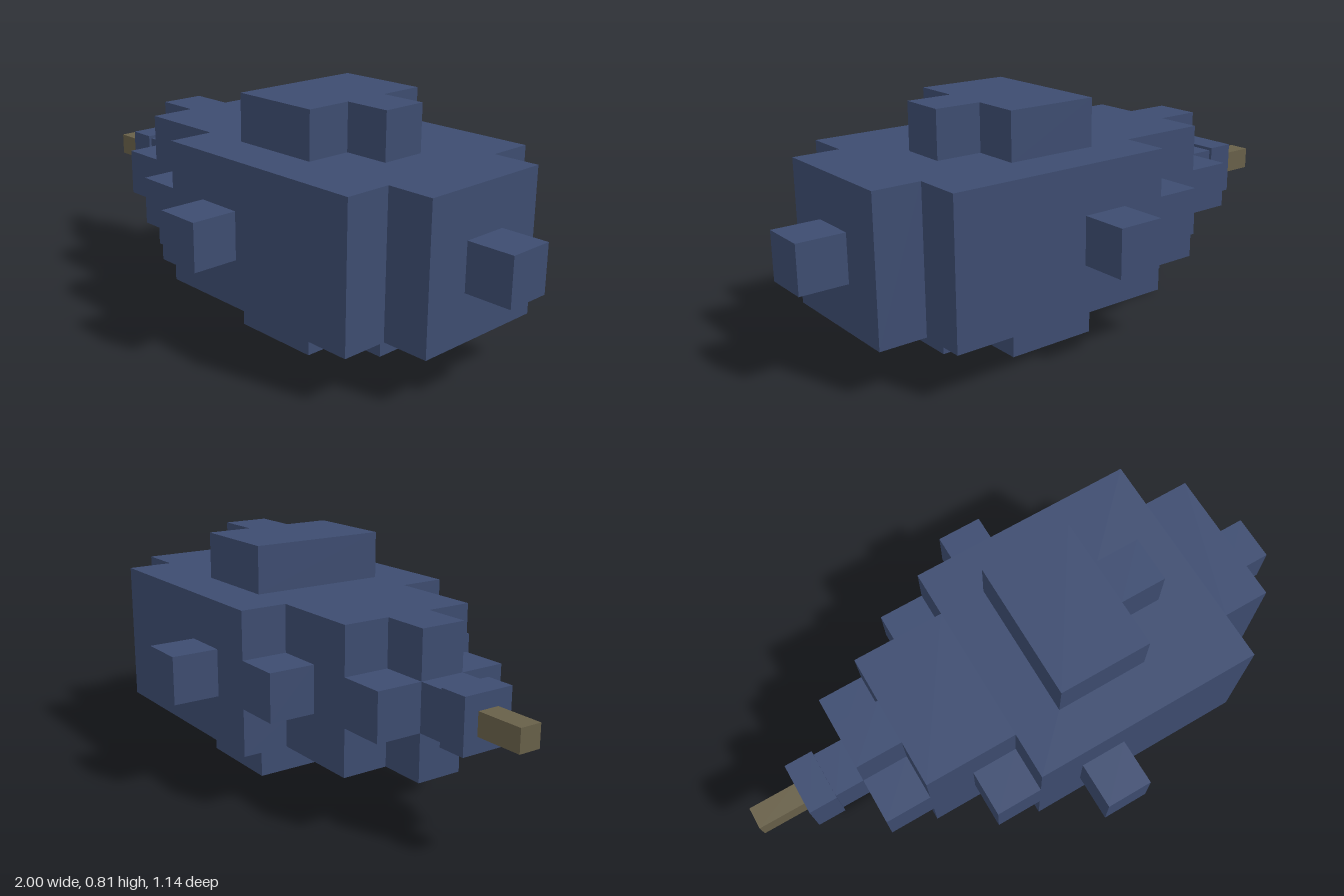
import * as THREE from 'three';

const U = 0.163;      // block size
const MID = 0.4075;   // height of the long axis
const TAIL = -0.63;   // x where the blocky hull begins

export function createModel() {
  const model = new THREE.Group();
  model.name = 'blockyHull';

  const navy = new THREE.MeshStandardMaterial({ color: 0x3d4c70 });
  navy.name = 'navy blue';
  const brass = new THREE.MeshStandardMaterial({ color: 0x686049 });
  brass.name = 'dull brass';

  // Box from x0 to x1, with height h and depth d, offset from the long axis
  function block(name, x0, x1, h, d, y = 0, z = 0, material = navy) {
    const mesh = new THREE.Mesh(new THREE.BoxGeometry(x1 - x0, h, d), material);
    mesh.name = name;
    mesh.position.set((x0 + x1) / 2, MID + y, z);
    model.add(mesh);
  }
  // Block measured in whole units from the tail of the hull
  const cells = (name, i0, i1, h, d, y = 0, z = 0) =>
    block(name, TAIL + i0 * U, TAIL + i1 * U, h * U, d * U, y * U, z * U);

  // Main hull: cross-shaped tail, body, wide middle and front
  cells('tailUpright', 0, 1, 3, 1);
  for (const s of [-1, 1]) cells('tailSide', 0, 1, 1, 1, 0, s);
  cells('rearBody', 1, 3, 3, 3);
  cells('wideBody', 3, 8, 3, 5);
  cells('noseBody', 8, 9, 3, 3);
  cells('noseStud', 9, 10, 1, 1);

  // Mirrored side details
  for (const s of [-1, 1]) {
    cells('sideStep', 2, 3, 1, 1, 0, 2 * s);
    cells('sideStud', 4, 5, 1, 1, 0, 3 * s);
  }

  // Matching raised plates above and below
  for (const s of [-1, 1]) {
    const side = s > 0 ? 'top' : 'bottom';
    cells(side + 'Plate', 4, 6, 1, 3, 2 * s);
    cells(side + 'PlateTab', 6, 7, 1, 1, 2 * s);
  }

  // Neck, collar and brass tip
  block('neck', -0.732, TAIL, U, U);
  block('collar', -0.832, -0.732, 0.184, 0.184);
  block('tip', -1, -0.832, 0.078, 0.078, 0, 0, brass);

  return model;
}
